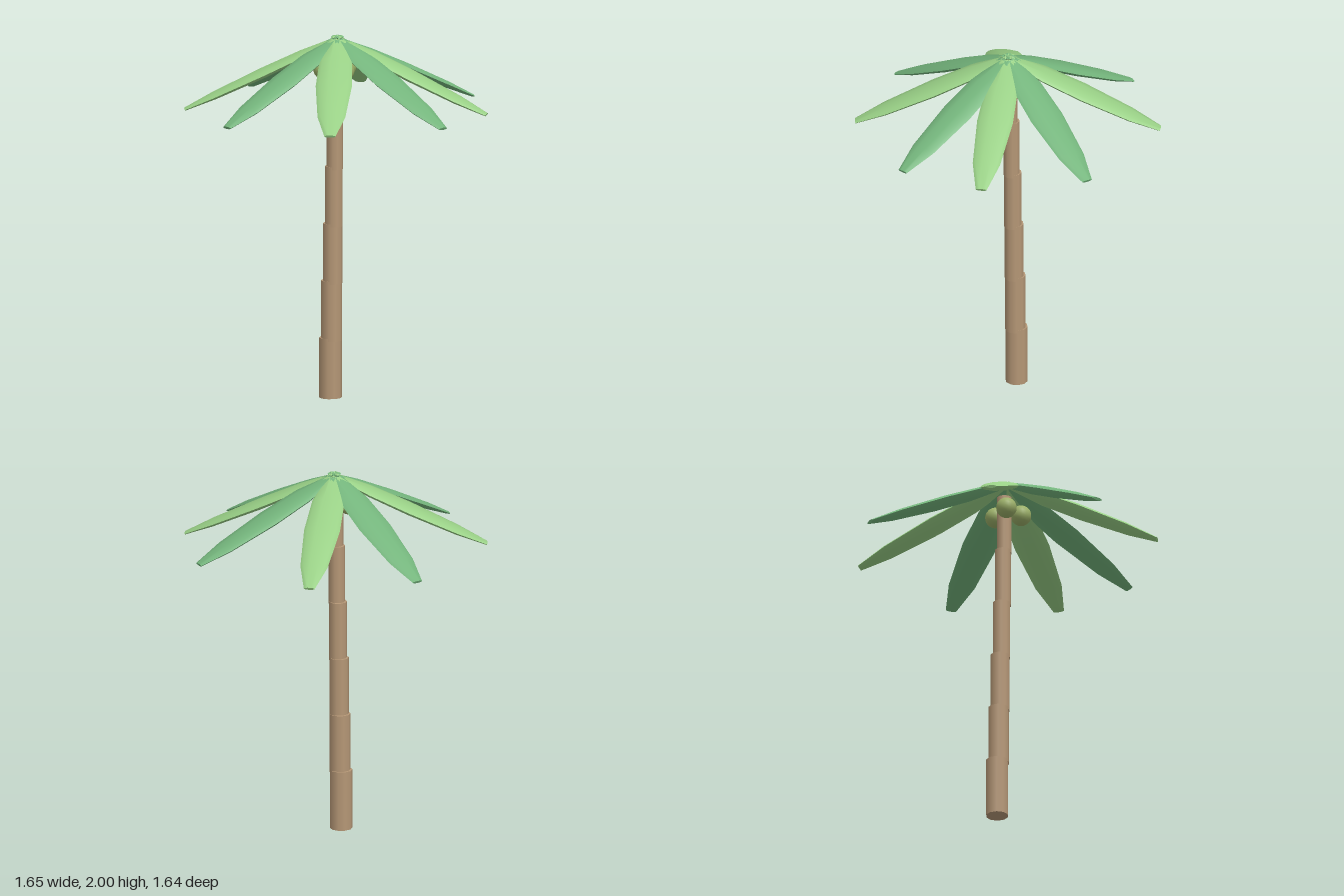
import * as THREE from 'three';
import { toCreasedNormals } from 'three/addons/utils/BufferGeometryUtils.js';

const V = (x, y) => new THREE.Vector2(x, y);
const mat = (color) => new THREE.MeshStandardMaterial({ color });

export function createModel() {
  const palm = new THREE.Group();
  palm.name = 'palmTree';

  const bark = mat(0xb59776);
  const darkLeaf = mat(0x74b57c);
  const lightLeaf = mat(0x99d086);
  const husk = mat(0x9cb069);

  const add = (name, geometry, material, parent) => {
    const mesh = new THREE.Mesh(geometry, material);
    mesh.name = name;
    parent.add(mesh);
    return mesh;
  };

  // Trunk: six overlapping segments, each thinner and shifted to one side
  const trunk = new THREE.Group();
  trunk.name = 'trunk';
  palm.add(trunk);
  for (let i = 0; i < 6; i++) {
    const r = 0.061 - i * 0.0042;
    const segment = add('trunkSegment', new THREE.CylinderGeometry(r, r, 0.33, 10), bark, trunk);
    segment.position.set(-0.06 + i * 0.0092, 0.165 + i * 0.315, 0);
  }

  // Leaf: a flattened lathe with blunt ends, sloping down and outward
  const slope = Math.atan2(0.395, 0.845);
  const length = 0.933;
  const profile = [[0, 0], [0.03, 0], [0.088, 0.25], [0.098, 0.5], [0.075, 0.81], [0.03, 1], [0, 1]];
  const leafGeometry = toCreasedNormals(
    new THREE.LatheGeometry(profile.map(([r, t]) => V(r, t * length)), 10)
      .scale(0.26, 1, 1)
      .rotateZ(-Math.PI / 2 - slope)
      .translate(-0.02, 1.99, 0),
    Math.PI / 3.5
  );

  // Crown: eight leaves at uneven angles, in alternating greens
  const crown = new THREE.Group();
  crown.name = 'crown';
  palm.add(crown);
  [4.2, 37.7, 79, 132, 174.4, 231.9, 274.2, 317.7].forEach((angle, i) => {
    const leaf = add('leaf', leafGeometry, i % 2 ? lightLeaf : darkLeaf, crown);
    leaf.rotation.y = THREE.MathUtils.degToRad(angle);
  });

  // Coconuts around the top of the trunk
  const nut = new THREE.SphereGeometry(0.056, 16, 12);
  for (const [x, z] of [[-0.042, 0.065], [0.08, 0.02], [-0.022, -0.078]]) {
    add('coconut', nut, husk, palm).position.set(x, 1.815, z);
  }

  return palm;
}
